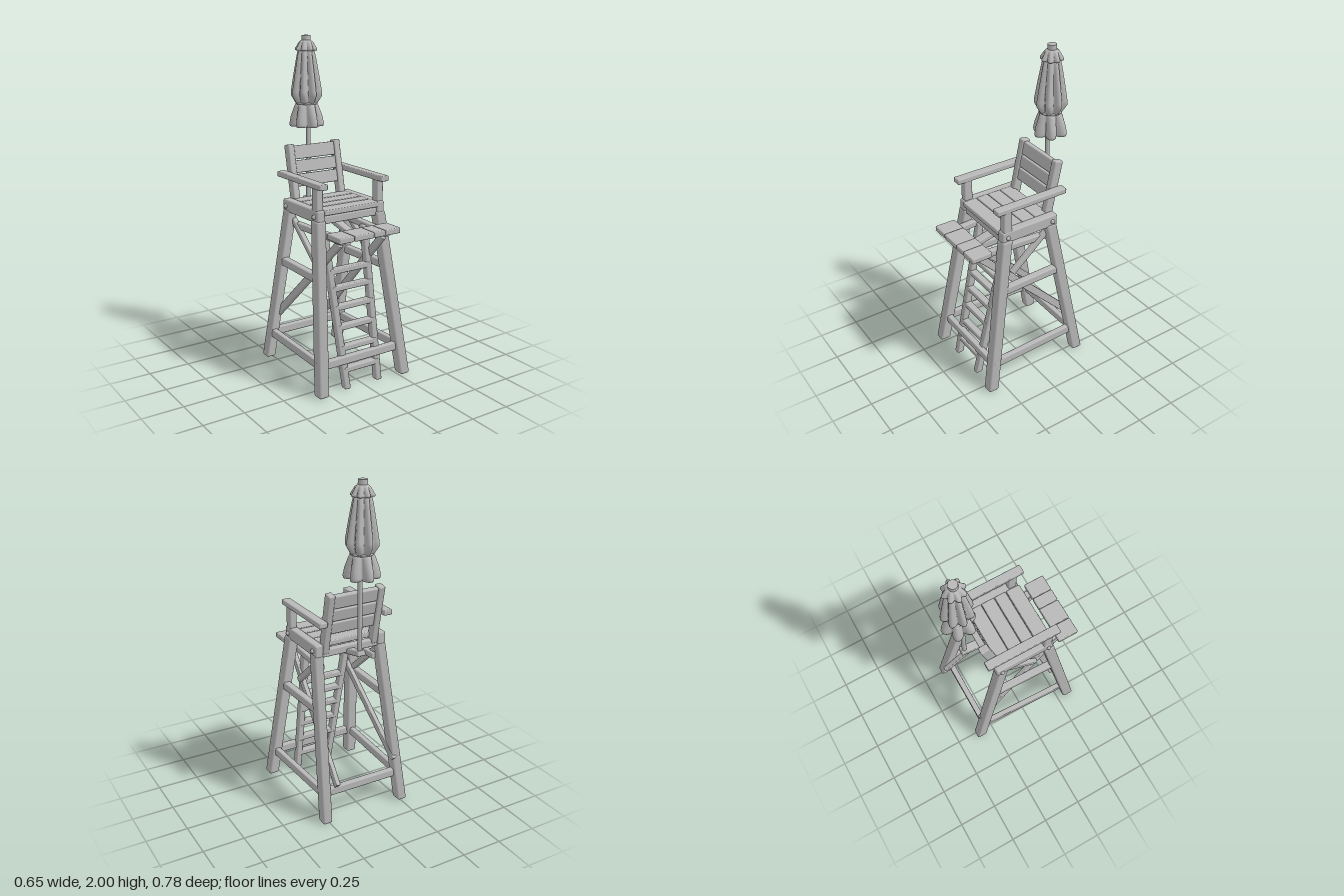
import * as THREE from 'three';
import { mergeVertices } from 'three/addons/utils/BufferGeometryUtils.js';
import { RoundedBoxGeometry } from 'three/addons/geometries/RoundedBoxGeometry.js';

export function createModel() {
  const model = new THREE.Group();
  model.name = 'lookoutChair';
  const grey = new THREE.MeshStandardMaterial({ color: 0xb8b8b8 });
  grey.name = 'plain grey';

  const add = (name, geometry) => {
    const mesh = new THREE.Mesh(geometry, grey);
    mesh.name = name;
    model.add(mesh);
    return mesh;
  };
  const rounded = (w, h, d) =>
    new RoundedBoxGeometry(w, h, d, 2, Math.min(w, h, d) * 0.2);

  // Box given by its limits on each axis
  const box = (name, x0, x1, y0, y1, z0, z1) => {
    const mesh = add(name, rounded(x1 - x0, y1 - y0, z1 - z0));
    mesh.position.set((x0 + x1) / 2, (y0 + y1) / 2, (z0 + z1) / 2);
    return mesh;
  };

  // Straight timber between two points, w across x and t across the other way
  const beam = (name, a, b, w, t) => {
    const from = new THREE.Vector3(...a), to = new THREE.Vector3(...b);
    const dir = to.clone().sub(from);
    const mesh = add(name, rounded(w, dir.length(), t));
    const up = dir.clone().normalize();
    const side = new THREE.Vector3(1, 0, 0).addScaledVector(up, -up.x).normalize();
    const front = side.clone().cross(up);
    mesh.quaternion.setFromRotationMatrix(new THREE.Matrix4().makeBasis(side, up, front));
    mesh.position.copy(from).add(to).multiplyScalar(0.5);
    return mesh;
  };

  // Leaning post with level ends, made by shearing an upright box
  const leaningPost = (name, a, b, w, d) => {
    const h = b[1] - a[1];
    const g = rounded(w, h, d);
    const p = g.attributes.position;
    for (let i = 0; i < p.count; i++) {
      const t = p.getY(i) / h + 0.5;
      p.setXYZ(i, p.getX(i) + a[0] + (b[0] - a[0]) * t, a[1] + h * t,
        p.getZ(i) + a[2] + (b[2] - a[2]) * t);
    }
    return add(name, g);
  };

  // Parts found on both sides
  for (const s of [-1, 1]) {
    leaningPost('frontLeg', [s * 0.292, 0, 0.328], [s * 0.208, 1.0, 0.168], 0.066, 0.07);
    leaningPost('backLeg', [s * 0.262, 0, -0.338], [s * 0.208, 1.0, -0.14], 0.06, 0.068);
    beam('lowerSideRail', [s * 0.278, 0.175, 0.3], [s * 0.256, 0.175, -0.31], 0.035, 0.052);
    beam('upperSideRail', [s * 0.24, 0.668, 0.225], [s * 0.228, 0.668, -0.2], 0.045, 0.05);
    box('seatSideBeam', s * 0.208 - 0.026, s * 0.208 + 0.026, 0.985, 1.06, -0.18, 0.2);
    box('armPost', s * 0.21 - 0.022, s * 0.21 + 0.022, 1.0, 1.19, 0.135, 0.19);
    box('armrest', s * 0.211 - 0.027, s * 0.211 + 0.027, 1.183, 1.216, -0.237, 0.234);
    beam('backPost', [s * 0.162, 1.0, -0.145], [s * 0.162, 1.37, -0.222], 0.042, 0.055);
    // Step supports and braces
    beam('stepSupport', [s * 0.15, 0.905, 0.34], [s * 0.18, 0.905, -0.15], 0.04, 0.04);
    beam('longBrace', [s * 0.15, 0.885, 0.3],
      s > 0 ? [0.188, 0.225, -0.35] : [-0.23, 0.265, -0.31], 0.028, 0.045);
    beam('shortBrace', [s * 0.19, 0.73, 0.11], [s * 0.19, 0.945, -0.14], 0.03, 0.035);
    leaningPost('ladderRail', [s * 0.112, 0, 0.315], [s * 0.143, 0.91, 0.12], 0.04, 0.045);
    // Bolt heads on the legs
    for (const [x, y, z] of [[0.238, 0.668, 0.218], [0.231, 1.02, 0.165], [0.231, 1.02, -0.145]]) {
      const bolt = add('boltHead', new THREE.SphereGeometry(0.014, 10, 8));
      bolt.position.set(s * (x + 0.004), y, z);
    }
  }

  // Cross rails and aprons
  box('frontCrossRail', -0.31, 0.31, 0.15, 0.2, 0.28, 0.318);
  box('backCrossRail', -0.27, 0.27, 0.15, 0.2, -0.32, -0.283);
  box('frontApron', -0.2, 0.2, 0.975, 1.022, 0.15, 0.19);
  box('backApron', -0.2, 0.2, 0.975, 1.022, -0.17, -0.13);

  // Ladder rungs follow the slope of the rails
  for (const y of [0.11, 0.235, 0.355, 0.47, 0.58, 0.68]) {
    const z = 0.315 - 0.214 * y, x = 0.118 + 0.034 * y;
    box('ladderRung', -x, x, y - 0.017, y + 0.017, z - 0.022, z + 0.022);
  }

  // Footboard
  for (const [a, b] of [[-0.21, -0.109], [-0.105, 0.026], [0.028, 0.104], [0.107, 0.21]])
    box('footboardPlank', a, b, 0.91, 0.944, 0.256, 0.388);
  box('footboardBatten', -0.18, 0.18, 0.895, 0.915, 0.29, 0.33);

  // Seat planks
  for (const [a, b] of [[0.115, 0.206], [0.035, 0.11], [-0.054, 0.031], [-0.145, -0.057]])
    box('seatPlank', -0.186, 0.186, 1.028, 1.06, a, b);

  // Backrest slats, tilted with the posts
  for (const [a, b] of [[1.12, 1.193], [1.2, 1.273], [1.28, 1.36]]) {
    const zAt = (y) => -0.145 - (y - 1.0) * 0.208;
    beam('backSlat', [0, a, zAt(a)], [0, b, zAt(b)], 0.3, 0.035);
  }

  // Parasol arm and pole
  beam('parasolArm', [0, 0.885, 0.24], [0, 1.012, -0.295], 0.052, 0.032);
  const pole = add('parasolPole', new THREE.CylinderGeometry(0.014, 0.014, 0.62, 16));
  pole.position.set(0, 1.31, -0.268);
  pole.rotation.x = 0.01;

  // Folded cloth: turned profile with pleats; each point is radius, height, pleat depth
  const pleated = (name, profile, lobes) => {
    const depth = profile.map((p) => p[2]);
    const g = new THREE.LatheGeometry(profile.map((p) => new THREE.Vector2(p[0], p[1])), 72);
    const pos = g.attributes.position;
    for (let i = 0; i < pos.count; i++) {
      const angle = Math.atan2(pos.getX(i), pos.getZ(i));
      const k = 1 + depth[i % profile.length] * (Math.abs(Math.cos(angle * lobes / 2)) * 2 - 1.3);
      pos.setX(i, pos.getX(i) * k);
      pos.setZ(i, pos.getZ(i) * k);
    }
    g.deleteAttribute('uv');
    g.deleteAttribute('normal');
    const merged = mergeVertices(g, 1e-5);
    merged.computeVertexNormals();
    add(name, merged).position.z = -0.283;
  };
  pleated('parasolHem', [[0, 1.51, 0], [0.05, 1.49, 0.2], [0.07, 1.462, 0.25], [0.086, 1.46, 0.25],
    [0.089, 1.475, 0.25], [0.083, 1.52, 0.22], [0.068, 1.58, 0.12], [0.058, 1.605, 0.06],
    [0, 1.61, 0]], 6);
  pleated('parasolCloth', [[0, 1.59, 0], [0.058, 1.592, 0.08], [0.068, 1.61, 0.14],
    [0.084, 1.645, 0.2], [0.084, 1.67, 0.2], [0.07, 1.77, 0.18], [0.056, 1.86, 0.16],
    [0.043, 1.94, 0.08], [0, 1.95, 0]], 8);
  pleated('parasolCrown', [[0, 1.915, 0], [0.045, 1.908, 0.1], [0.06, 1.912, 0.18],
    [0.06, 1.922, 0.18], [0.042, 1.958, 0.08], [0.028, 1.972, 0], [0, 1.975, 0]], 8);
  const cap = add('parasolCap', new THREE.CylinderGeometry(0.026, 0.028, 0.05, 20));
  cap.position.set(0, 1.975, -0.283);
  const tie = add('parasolTie', new THREE.TorusGeometry(0.06, 0.007, 8, 36));
  tie.rotation.x = Math.PI / 2;
  tie.position.set(0, 1.6, -0.283);

  return model;
}
